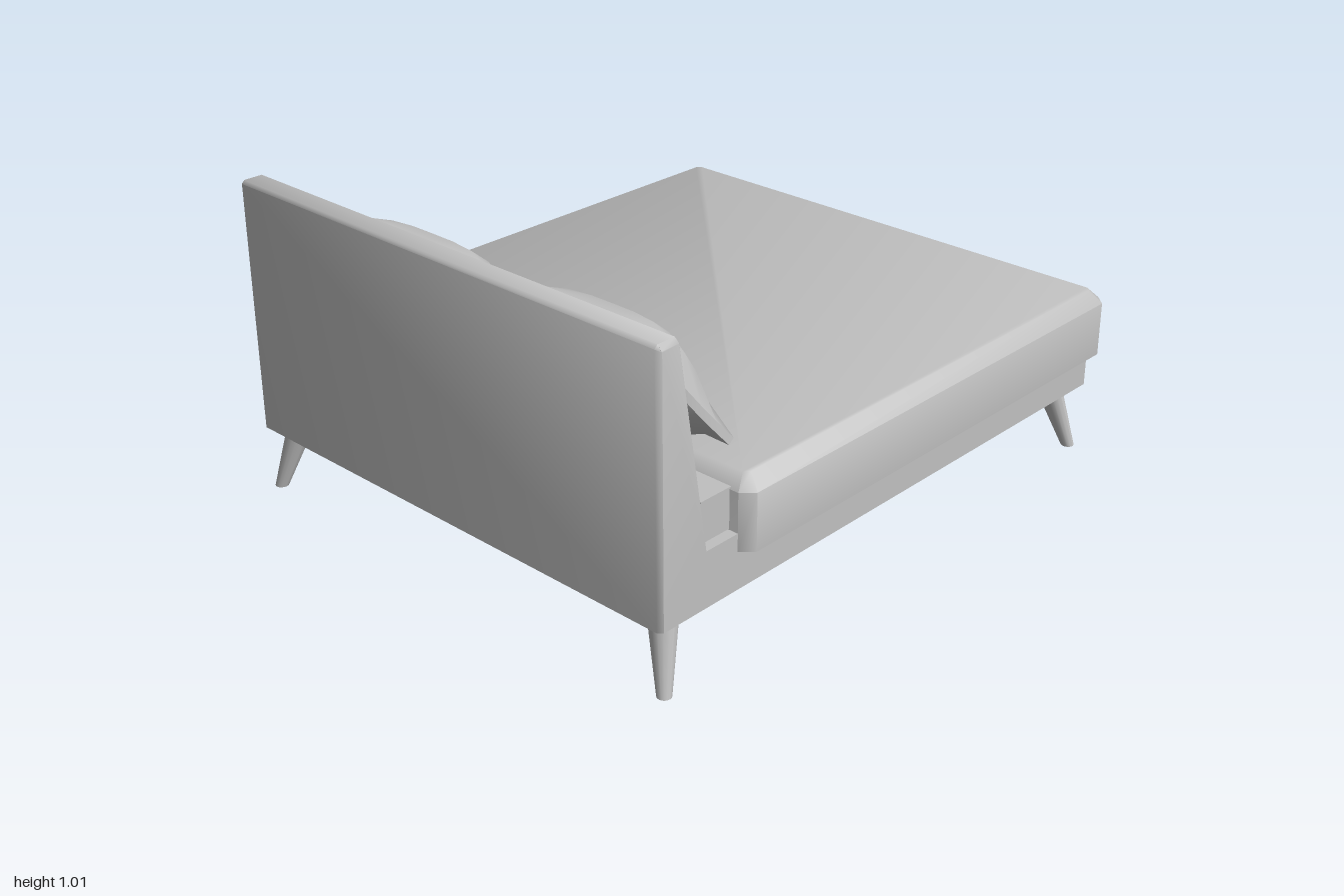
import * as THREE from 'three';
import { toCreasedNormals } from 'three/addons/utils/BufferGeometryUtils.js';

// Double-sided because the base and the duvet are open shells
const fabric = new THREE.MeshStandardMaterial({ color: 0xc0c0c0, side: THREE.DoubleSide });
fabric.name = 'plain grey';

function add(parent, name, geometry) {
  const mesh = new THREE.Mesh(geometry, fabric);
  mesh.name = name;
  parent.add(mesh);
  return mesh;
}

function shell(points, index, crease) {
  const g = new THREE.BufferGeometry();
  g.setAttribute('position', new THREE.Float32BufferAttribute(points.flat(), 3));
  g.setIndex(index);
  return toCreasedNormals(g, crease);
}

// Base and tapered headboard in one shell, open underneath.
// Each profile point is x, y and its inset on the two softened side edges.
function frameGeometry() {
  const profile = [
    [0.96, 0.21, 0, 0], [0.96, 0.38, 0, 0], [-0.818, 0.38, -0.012, 0],
    [-0.915, 0.99, -0.012, -0.008], [-0.93, 1.01, 0, -0.014],
    [-0.99, 1.01, 0, -0.014], [-1, 1, 0.012, -0.008], [-1, 0.21, 0.012, 0],
  ];
  const n = profile.length;
  const slices = [[-0.84, 1], [-0.826, 0], [0.826, 0], [0.84, 1]];
  const points = slices.flatMap(([z, k]) => profile.map(([x, y, dx, dy]) => [x + k * dx, y + k * dy, z]));
  const index = [];
  for (let s = 0; s < 3; s++) {
    for (let i = 0; i < n - 1; i++) {
      const a = s * n + i, b = a + n;
      index.push(a, a + 1, b + 1, a, b + 1, b);
    }
  }
  // Side panels
  const outline = points.slice(0, n).map(([x, y]) => new THREE.Vector2(x, y));
  for (const [a, b, c] of THREE.ShapeUtils.triangulateShape(outline, [])) {
    index.push(a, c, b, 3 * n + a, 3 * n + b, 3 * n + c);
  }
  return shell(points, index, 0.85);
}

// Octagonal rings stacked in y, closed on top and open below
function duvetGeometry() {
  const ring = (inset, cut, y) => {
    const x0 = -0.71 + inset, x1 = 1 - inset, z = 0.875 - inset;
    return [[x0, z - cut], [x0 + cut, z], [x1 - cut, z], [x1, z - cut],
      [x1, cut - z], [x1 - cut, -z], [x0 + cut, -z], [x0, cut - z]].map(([px, pz]) => [px, y, pz]);
  };
  const points = [ring(0, 0.035, 0.325), ring(0, 0.035, 0.5), ring(0.04, 0.015, 0.54)].flat();
  const index = [];
  for (let i = 0; i < 8; i++) {
    const j = (i + 1) % 8;
    for (let r = 0; r < 16; r += 8) index.push(r + i, r + j, r + 8 + j, r + i, r + 8 + j, r + 8 + i);
    if (i > 0 && i < 7) index.push(16, 16 + i, 17 + i);
  }
  return shell(points, index, 0.9);
}

// Cushion leaning on the headboard; low and high shift the middles of its short edges
function pillowGeometry(zMid, half, low, high) {
  const g = new THREE.BoxGeometry(2, 2, 2, 8, 6, 1);
  const p = g.attributes.position;
  for (let i = 0; i < p.count; i++) {
    const u = p.getX(i), v = p.getY(i), w = p.getZ(i);
    const along = v * (0.24 - 0.015 * (1 - u * u));
    const thick = w * (0.012 + 0.136 * (1 - u ** 4) * (1 - v * v));
    const shift = (u < 0 ? low : high) * Math.abs(u) * (1 - v * v);
    p.setXYZ(i,
      -0.733 + 0.635 * along + 0.772 * thick,
      0.734 - 0.772 * along + 0.635 * thick,
      zMid + half * u + shift);
  }
  g.computeVertexNormals();
  return g;
}

export function createModel() {
  const bed = new THREE.Group();
  bed.name = 'bed';

  add(bed, 'frame', frameGeometry());

  // Mattress on the base, with the duvet draped over it
  add(bed, 'mattress', new THREE.BoxGeometry(1.77, 0.123, 1.62)).position.set(0.065, 0.4445, 0);
  add(bed, 'duvet', duvetGeometry());

  // Splayed, tapered legs
  for (const side of [-1, 1]) {
    for (const [topX, footX, name] of [[-0.912, -0.967, 'headLeg'], [0.868, 0.925, 'footLeg']]) {
      const leg = new THREE.CylinderGeometry(0.044, 0.021, 0.21, 16);
      const p = leg.attributes.position;
      for (let i = 0; i < p.count; i++) {
        const t = p.getY(i) / 0.21 + 0.5;
        p.setXYZ(i,
          p.getX(i) + footX + (topX - footX) * t,
          0.215 * t,
          p.getZ(i) + side * (0.82 - 0.056 * t));
      }
      leg.computeVertexNormals();
      add(bed, name, leg);
    }
  }

  // Pair of pillows
  add(bed, 'leftPillow', pillowGeometry(0.367, 0.333, 0, -0.027));
  add(bed, 'rightPillow', pillowGeometry(-0.37, 0.333, -0.017, 0.025));
  return bed;
}
